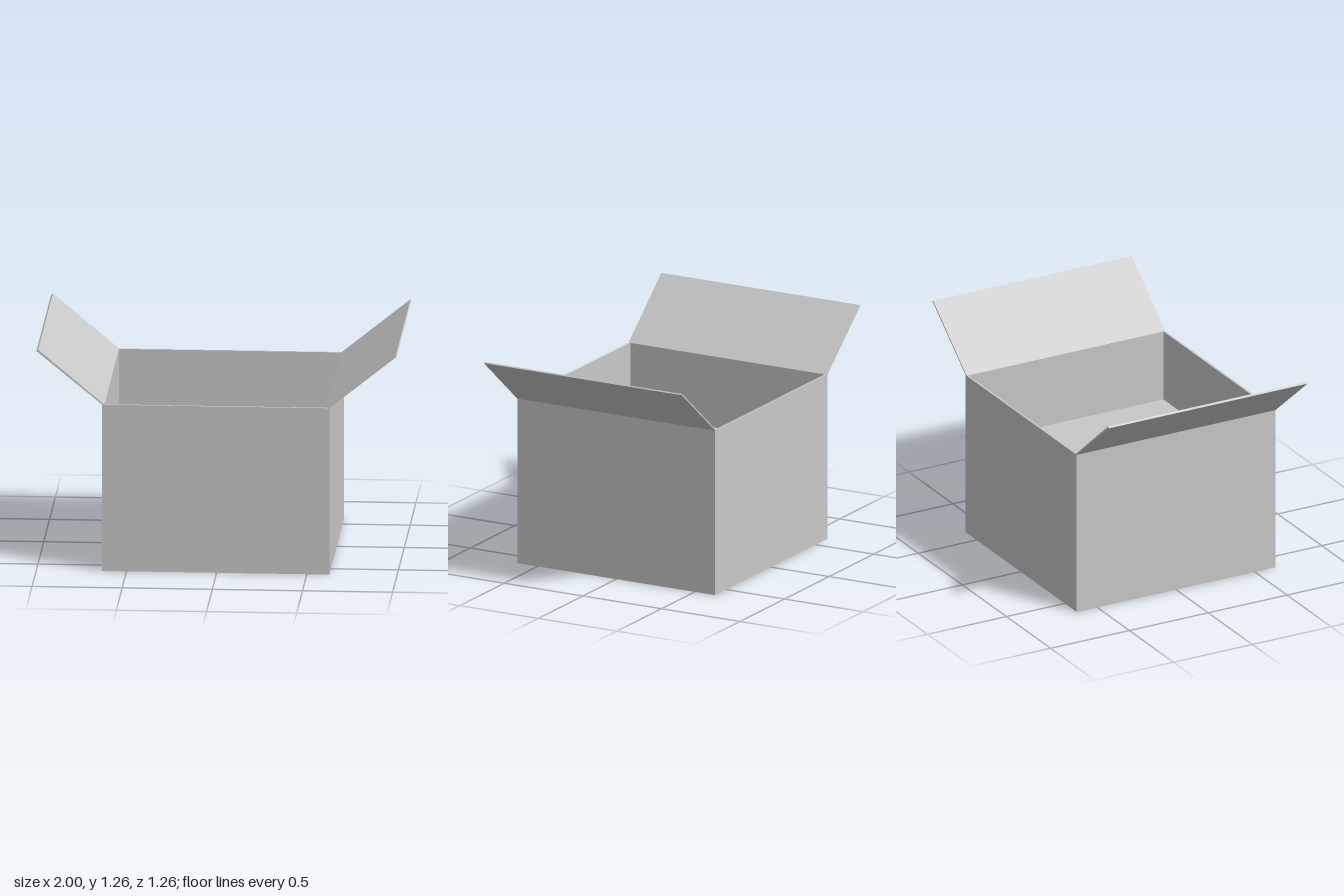
import * as THREE from 'three';

const DEPTH = 1.26;   // front to back
const WALL_TOP = 0.95;
const FLOOR_TOP = 0.54;
const THICK = 0.012;
const LEFT = 0.625, RIGHT = -0.635;

const cardboard = new THREE.MeshStandardMaterial({ color: 0xc8c8c8 });
cardboard.name = 'plain grey card';

function addMesh(group, name, geometry) {
  const mesh = new THREE.Mesh(geometry, cardboard);
  mesh.name = name;
  group.add(mesh);
  return mesh;
}

function addBox(group, name, x0, x1, y0, y1, z0, z1) {
  const mesh = addMesh(group, name, new THREE.BoxGeometry(x1 - x0, y1 - y0, z1 - z0));
  mesh.position.set((x0 + x1) / 2, (y0 + y1) / 2, (z0 + z1) / 2);
}

// Thin panel with its cross-section drawn in x/y, running the full depth
function addFlap(group, name, points) {
  const shape = new THREE.Shape(points.map(([x, y]) => new THREE.Vector2(x, y)));
  const geometry = new THREE.ExtrudeGeometry(shape, { depth: DEPTH, bevelEnabled: false });
  geometry.translate(0, 0, -DEPTH / 2);
  addMesh(group, name, geometry);
}

export function createModel() {
  const box = new THREE.Group();
  box.name = 'openBox';
  const z = DEPTH / 2;

  // Walls
  addBox(box, 'leftWall', LEFT - THICK, LEFT, 0, WALL_TOP, -z, z);
  addBox(box, 'rightWall', RIGHT, RIGHT + THICK, 0, WALL_TOP, -z, z);
  addBox(box, 'frontWall', RIGHT + THICK, LEFT - THICK, 0, WALL_TOP, z - THICK, z);
  addBox(box, 'backWall', RIGHT + THICK, LEFT - THICK, 0, WALL_TOP, -z, -z + THICK);

  // Raised floor filling the lower part of the box
  addBox(box, 'floor', RIGHT + THICK, LEFT - THICK, 0, FLOOR_TOP, -z + THICK, z - THICK);

  // Open flaps hinged on the side walls
  addFlap(box, 'leftFlap', [[LEFT, WALL_TOP], [1, 1.252], [0.994, 1.258], [LEFT - THICK, WALL_TOP]]);
  addFlap(box, 'rightFlap', [[RIGHT, WALL_TOP], [RIGHT + THICK, WALL_TOP], [-0.99, 1.258], [-1, 1.25]]);

  return box;
}
